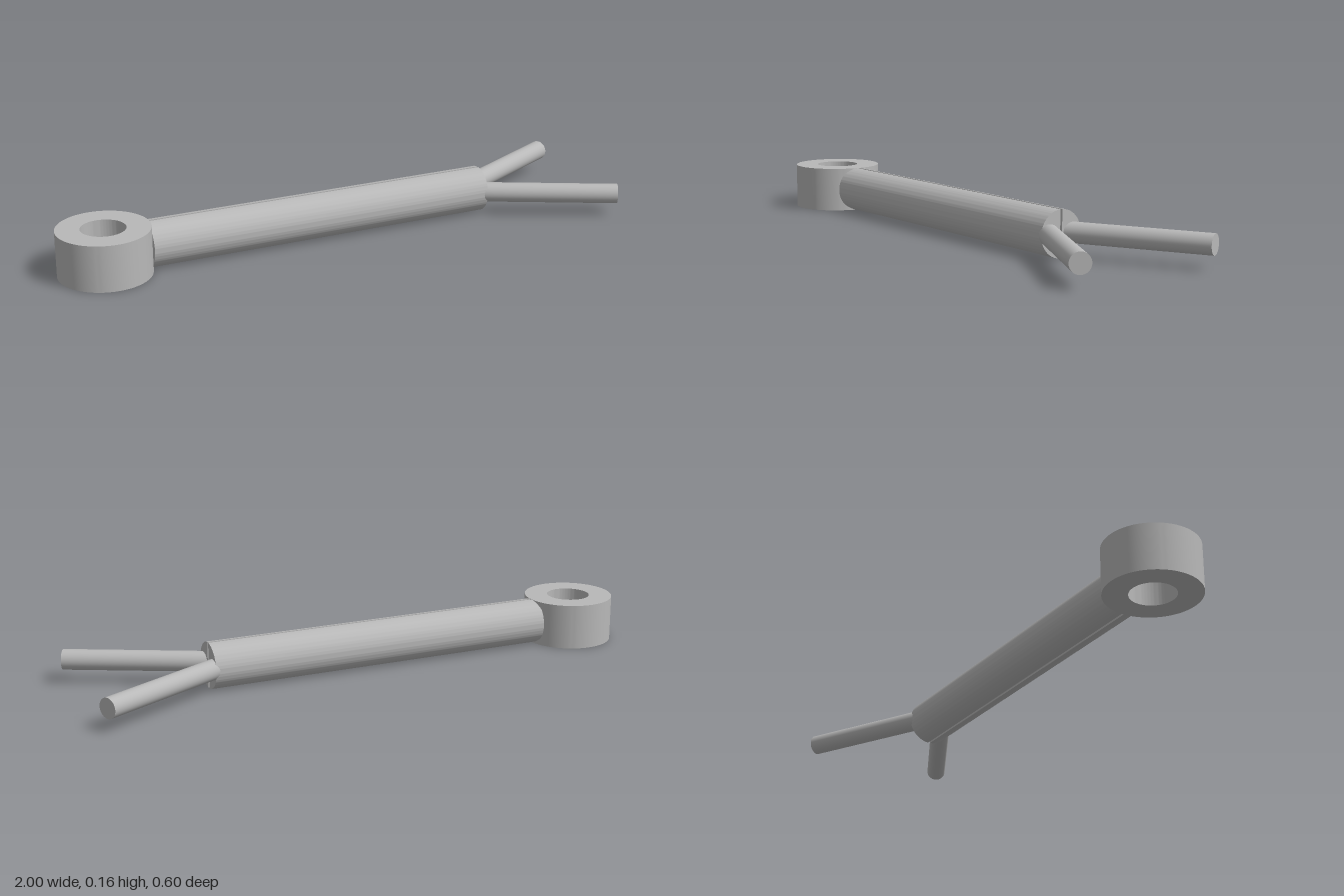
import * as THREE from 'three';
import { toCreasedNormals } from 'three/addons/utils/BufferGeometryUtils.js';

const MID = 0.08; // height of the pin's axis

function extrude(shape, depth) {
  const geo = new THREE.ExtrudeGeometry(shape, { depth, bevelEnabled: false, curveSegments: 48 });
  return toCreasedNormals(geo, 0.6);
}

export function createModel() {
  const group = new THREE.Group();
  const steel = new THREE.MeshStandardMaterial({ color: 0xb8b8b8 });
  steel.name = 'steel grey';

  const add = (name, geo) => {
    const mesh = new THREE.Mesh(geo, steel);
    mesh.name = name;
    group.add(mesh);
    return mesh;
  };

  // Eye ring with a vertical hole
  const ring = new THREE.Shape().absarc(0, 0, 0.158, 0, Math.PI * 2);
  ring.holes.push(new THREE.Path().absarc(0, 0, 0.076, 0, Math.PI * 2, true));
  add('eyeRing', extrude(ring, 0.16).rotateX(-Math.PI / 2)).position.set(-0.842, 0, 0);

  for (const side of [1, -1]) {
    const label = side > 0 ? 'front' : 'back';

    // Half-round shaft, separated from its twin by a narrow slot
    const a = Math.acos(0.004 / 0.08);
    const mid = side > 0 ? Math.PI : 0;
    const half = new THREE.Shape().absarc(0, 0, 0.08, mid - a, mid + a);
    half.closePath();
    add(label + 'HalfShaft', extrude(half, 1.255).rotateY(Math.PI / 2)).position.set(-0.695, MID, 0);

    // Splayed prong
    const start = new THREE.Vector3(0.545, MID, side * 0.04);
    const end = new THREE.Vector3(0.984, MID, side * 0.267);
    const dir = end.clone().sub(start);
    const prong = add(label + 'Prong', new THREE.CylinderGeometry(0.035, 0.035, dir.length(), 40));
    prong.position.copy(start).add(end).multiplyScalar(0.5);
    prong.quaternion.setFromUnitVectors(new THREE.Vector3(0, 1, 0), dir.normalize());
  }
  return group;
}
